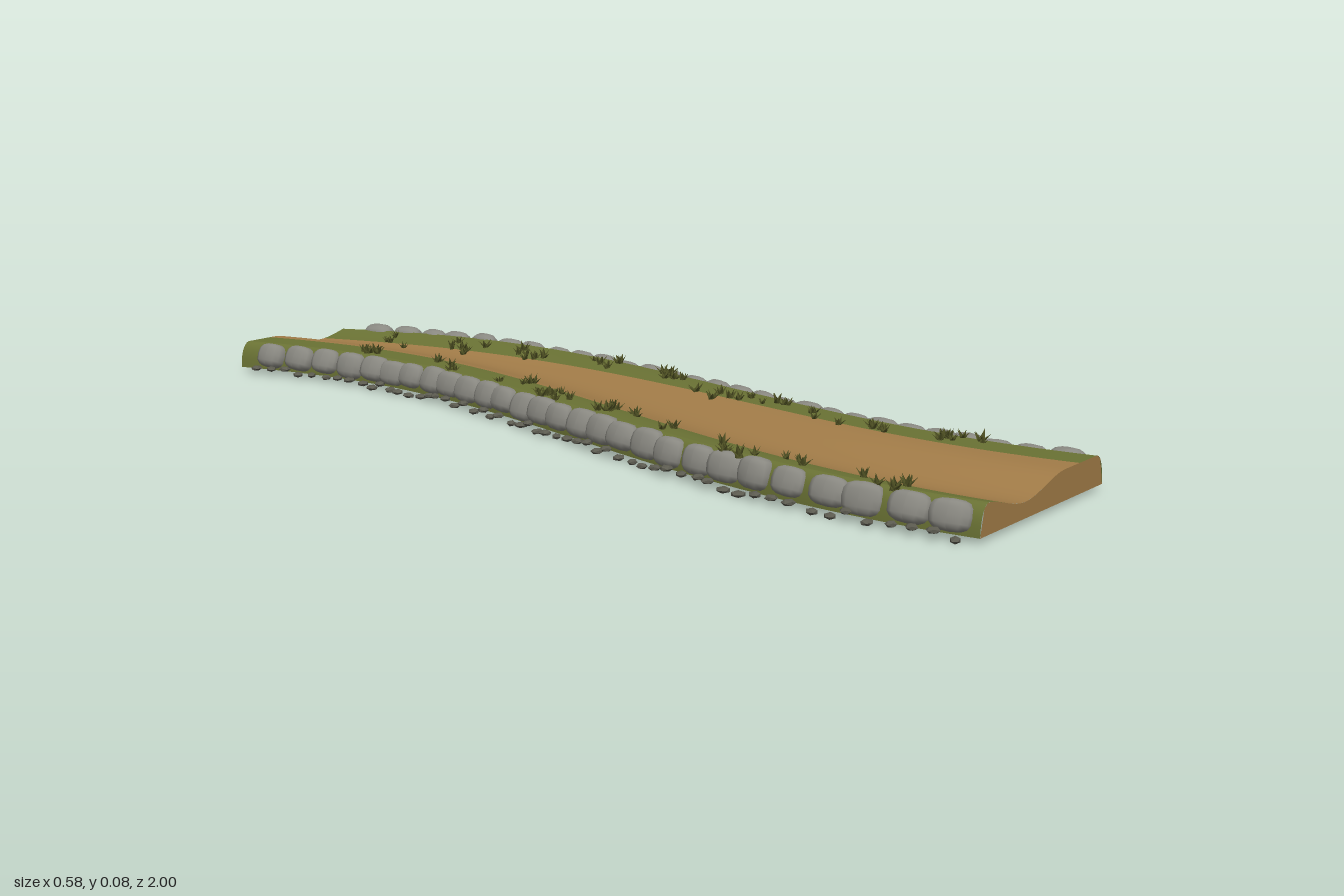
import * as THREE from 'three';
import { mergeGeometries } from 'three/addons/utils/BufferGeometryUtils.js';

const mat = (name, color, side = THREE.FrontSide) => {
  const m = new THREE.MeshStandardMaterial({ color, side });
  m.name = name;
  return m;
};

// Small seeded random source
let seed = 7;
const rnd = (a = 0, b = 1) => {
  seed = (seed * 16807) % 2147483647;
  return a + (b - a) * (seed / 2147483647);
};

// Winding centre line, its turn, and the widths along it
const Z0 = -0.962, Z1 = 0.955, BASE = 0.01;
const centre = z => 0.015 - 0.0715 * z - 0.05 * z * z + 0.181 * z ** 3;
const turn = z => Math.atan(Math.min(-0.0715 - 0.1 * z + 0.543 * z * z, 0.215));
const half = z => 0.19 + 0.025 * z;
const dirtHalf = z => 0.103 + 0.022 * z;
const place = (z, s, y) => new THREE.Vector3(
  centre(z) + s * Math.cos(turn(z)), y, z - s * Math.sin(turn(z)));

// Sunken track whose lowest line drifts from one side to the other
const ground = (z, s) => {
  const k = THREE.MathUtils.smoothstep(Math.abs(s + 0.07 * z), 0, 0.14);
  return 0.037 + 0.026 * k;
};

// Grid surface from a rule; u runs to +x, v runs along the piece
function sheet(fn, nu, nv) {
  const pos = [], idx = [];
  for (let j = 0; j <= nv; j++)
    for (let i = 0; i <= nu; i++) pos.push(...fn(i / nu, j / nv).toArray());
  for (let j = 0; j < nv; j++)
    for (let i = 0; i < nu; i++) {
      const a = j * (nu + 1) + i, c = a + nu + 1;
      idx.push(a, c, a + 1, a + 1, c, c + 1);
    }
  const g = new THREE.BufferGeometry();
  g.setAttribute('position', new THREE.Float32BufferAttribute(pos, 3));
  g.setIndex(idx);
  g.computeVertexNormals();
  return g;
}

// Rounded, slightly boxy stone
function stoneGeometry(rx, ry, rz) {
  const g = new THREE.SphereGeometry(1, 12, 8);
  const p = g.attributes.position;
  const f = v => Math.sign(v) * Math.abs(v) ** 0.7;
  for (let i = 0; i < p.count; i++)
    p.setXYZ(i, f(p.getX(i)) * rx, f(p.getY(i)) * ry, f(p.getZ(i)) * rz);
  g.computeVertexNormals();
  return g;
}

// Little plant of pointed leaves spreading from one root
function tuft(root, size) {
  const leaves = [], n = 5, spin = rnd(0, 6);
  for (let i = 0; i < n; i++) {
    const g = new THREE.ConeGeometry(size * 0.3, size, 4);
    g.scale(1, 1, 0.4);
    g.translate(0, size * 0.45, 0);
    g.rotateX(rnd(0.35, 1.0));
    g.rotateY(spin + (i / n) * Math.PI * 2);
    g.translate(root.x, root.y, root.z);
    leaves.push(g);
  }
  return mergeGeometries(leaves);
}

export function createModel() {
  seed = 7;
  const model = new THREE.Group();
  const dirt = mat('dirt', 0xa27c48, THREE.DoubleSide);
  const grass = mat('grass', 0x6a7234, THREE.DoubleSide);
  const stone = mat('stone', 0x8a8982);
  const darkStone = mat('dark stone', 0x5c5b50);
  const leaf = mat('leaf', 0x515324);
  const add = (name, geo, m) => {
    const mesh = new THREE.Mesh(geo, m);
    mesh.name = name;
    model.add(mesh);
    return mesh;
  };
  const zAt = v => Z0 + (Z1 - Z0) * v;
  const topHalf = z => half(z) - 0.025;

  // Track and grass verges, open underneath
  add('dirtTrack', sheet((u, v) => {
    const z = zAt(v), s = dirtHalf(z) * (2 * u - 1);
    return place(z, s, ground(z, s));
  }, 12, 64), dirt);
  for (const side of [-1, 1]) {
    const label = side > 0 ? 'left' : 'right';
    add(label + 'Verge', sheet((u, v) => {
      const z = zAt(v), k = side > 0 ? u : 1 - u;
      const s = side * THREE.MathUtils.lerp(dirtHalf(z), topHalf(z), k);
      return place(z, s, ground(z, s));
    }, 4, 64), grass);
    add(label + 'Bank', sheet((u, v) => {
      const z = zAt(v), k = side > 0 ? u : 1 - u;
      const s = side * (topHalf(z) + 0.025 * Math.sin(k * Math.PI / 2));
      const top = ground(z, side * topHalf(z));
      return place(z, s, THREE.MathUtils.lerp(top, BASE, k * k));
    }, 5, 64), grass);
  }

  // End walls under the rim of the track
  const endWall = (z, from, to, front) => sheet((u, v) => {
    const s = THREE.MathUtils.lerp(from, to, u), t = topHalf(z);
    const over = Math.max(0, Math.abs(s) - t) / 0.025;
    const drop = Math.min(1, Math.asin(Math.min(1, over)) / (Math.PI / 2)) ** 2;
    const rim = THREE.MathUtils.lerp(ground(z, THREE.MathUtils.clamp(s, -t, t)), BASE, drop);
    return place(z, s, THREE.MathUtils.lerp(rim, BASE, front ? v : 1 - v));
  }, 40, 2);
  add('frontWall', endWall(Z1, -half(Z1), half(Z1), true), dirt);
  add('backWallDirt', endWall(Z0, -dirtHalf(Z0), dirtHalf(Z0), false), dirt);
  add('backWallGrassLeft', endWall(Z0, dirtHalf(Z0), half(Z0), false), grass);
  add('backWallGrassRight', endWall(Z0, -half(Z0), -dirtHalf(Z0), false), grass);

  // Leaning kerb stones with small pebbles at their feet
  const count = 28;
  for (const side of [-1, 1]) {
    const kerb = [], pebbles = [];
    for (let i = 0; i < count; i++) {
      const z = THREE.MathUtils.lerp(-0.89, 0.9, i / (count - 1)) + rnd(-0.006, 0.006);
      const g = stoneGeometry(rnd(0.018, 0.022), rnd(0.025, 0.028), rnd(0.034, 0.039));
      g.rotateZ(side * rnd(0.25, 0.45));
      g.rotateY(turn(z) + rnd(-0.12, 0.12));
      const p = place(z, side * (half(z) - 0.008), rnd(0.037, 0.041));
      kerb.push(g.translate(p.x, p.y, p.z));
      for (const dz of [-0.016, 0.018]) {
        const b = new THREE.IcosahedronGeometry(1, 0);
        b.scale(rnd(0.009, 0.013), 0.006, rnd(0.009, 0.014));
        b.rotateY(rnd(0, 3));
        const q = place(z + dz, side * (half(z) + rnd(0.014, 0.022)), rnd(0.006, 0.02));
        pebbles.push(b.translate(q.x, q.y, q.z));
      }
    }
    const label = side > 0 ? 'left' : 'right';
    add(label + 'KerbStones', mergeGeometries(kerb), stone);
    add(label + 'Pebbles', mergeGeometries(pebbles), darkStone);
  }

  // Plant clumps on the verges: x, z, number of tufts
  const clumps = [
    [-0.145, -0.66, 6], [-0.11, -0.42, 6], [-0.1, -0.22, 5], [-0.13, -0.05, 8],
    [-0.125, 0.14, 8], [-0.15, 0.29, 3], [-0.19, 0.5, 6], [-0.155, 0.63, 3], [-0.155, 0.8, 7],
    [0.045, -0.8, 6], [0.095, -0.64, 7], [0.125, -0.46, 7], [0.16, -0.24, 6],
    [0.16, -0.05, 7], [0.115, 0.13, 4], [0.125, 0.25, 7], [0.11, 0.38, 3],
    [0.11, 0.52, 6], [0.16, 0.7, 8],
  ];
  clumps.forEach(([x, z, n], i) => {
    const tufts = [];
    for (let k = 0; k < n; k++) {
      const px = x + rnd(-0.026, 0.026), pz = z + rnd(-0.05, 0.05);
      const y = ground(pz, px - centre(pz)) - 0.002;
      tufts.push(tuft(new THREE.Vector3(px, y, pz), rnd(0.015, 0.026)));
    }
    add('plantClump' + (i + 1), mergeGeometries(tufts), leaf);
  });
  return model;
}
